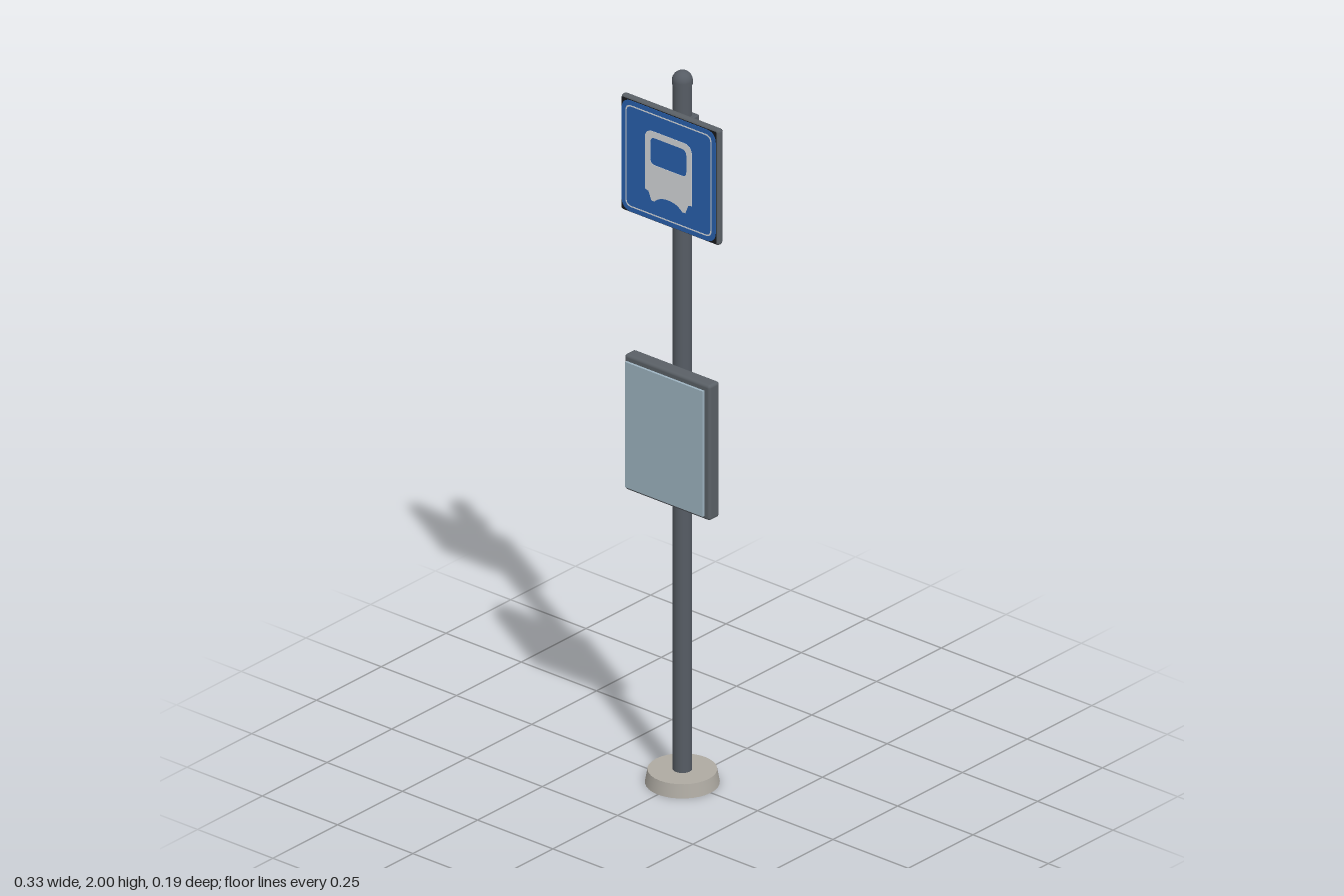
import * as THREE from 'three';
import { RoundedBoxGeometry } from 'three/addons/geometries/RoundedBoxGeometry.js';

const material = (name, color) => new THREE.MeshStandardMaterial({ name, color });

// Rounded rectangle centred on (0, cy), as a Shape or as a hole Path
function roundedRect(w, h, r, cy = 0, Type = THREE.Shape) {
  const p = new Type(), x = w / 2, y0 = cy - h / 2, y1 = cy + h / 2;
  p.moveTo(-x + r, y0);
  p.lineTo(x - r, y0);
  p.quadraticCurveTo(x, y0, x, y0 + r);
  p.lineTo(x, y1 - r);
  p.quadraticCurveTo(x, y1, x - r, y1);
  p.lineTo(-x + r, y1);
  p.quadraticCurveTo(-x, y1, -x, y1 - r);
  p.lineTo(-x, y0 + r);
  p.quadraticCurveTo(-x, y0, -x + r, y0);
  return p;
}

// Bus seen head-on: wheel feet, arched underside and a windscreen opening
function busShape() {
  const s = new THREE.Shape();
  s.moveTo(-0.078, -0.075);
  s.lineTo(-0.066, -0.078);
  s.lineTo(-0.056, -0.102);
  s.lineTo(-0.046, -0.102);
  s.quadraticCurveTo(-0.03, -0.084, 0, -0.084);
  s.quadraticCurveTo(0.03, -0.084, 0.046, -0.102);
  s.lineTo(0.056, -0.102);
  s.lineTo(0.066, -0.078);
  s.lineTo(0.078, -0.075);
  s.lineTo(0.078, 0.07);
  s.quadraticCurveTo(0.076, 0.094, 0.05, 0.094);
  s.lineTo(-0.05, 0.094);
  s.quadraticCurveTo(-0.076, 0.094, -0.078, 0.07);
  s.closePath();
  s.holes.push(roundedRect(0.12, 0.076, 0.016, 0.038, THREE.Path));
  return s;
}

export function createModel() {
  const model = new THREE.Group();
  model.name = 'busStopPost';

  const steel = material('dark steel', 0x565c64);
  const trim = material('frame grey', 0x5a6066);
  const blue = material('sign blue', 0x2860ae);
  const white = material('sign white', 0xd6d9dc);
  const black = material('edge black', 0x17191c);
  const glass = material('pale glass', 0x9db3c0);
  const concrete = material('concrete', 0xaeaaa2);

  const add = (name, geometry, mat, x = 0, y = 0, z = 0, parent = model) => {
    const mesh = new THREE.Mesh(geometry, mat);
    mesh.name = name;
    mesh.position.set(x, y, z);
    parent.add(mesh);
    return mesh;
  };
  const plate = (shape, depth) =>
    new THREE.ExtrudeGeometry(shape, { depth, bevelEnabled: false, curveSegments: 6 });

  // Footing, pole and domed cap
  add('footing', new THREE.CylinderGeometry(0.088, 0.0945, 0.037, 32), concrete, 0, 0.0185);
  add('pole', new THREE.CylinderGeometry(0.0245, 0.0245, 1.94, 24), steel, 0, 1.003);
  add('cap', new THREE.SphereGeometry(0.0265, 24, 8, 0, Math.PI * 2, 0, Math.PI / 2), steel, 0, 1.9735);
  add('capRim', new THREE.CylinderGeometry(0.0265, 0.0265, 0.01, 24), steel, 0, 1.9685);

  // Sign mounting: sleeve and two clamps
  add('signSleeve', new THREE.CylinderGeometry(0.0275, 0.0275, 0.26, 24), steel, 0, 1.74);
  for (const y of [1.61, 1.868]) {
    add('signClamp', new RoundedBoxGeometry(0.068, 0.018, 0.058, 2, 0.004), steel, 0, y, 0.001);
  }

  // Sign, with the same face on both sides
  const sign = new THREE.Group();
  sign.name = 'sign';
  sign.position.set(0, 1.739, 0.04);
  model.add(sign);
  add('signFrame', new RoundedBoxGeometry(0.326, 0.326, 0.021, 3, 0.009), trim, 0, 0, 0, sign);

  const border = roundedRect(0.286, 0.286, 0.02);
  border.holes.push(roundedRect(0.279, 0.279, 0.018, 0, THREE.Path));
  for (const turn of [0, Math.PI]) {
    const face = new THREE.Group();
    face.name = turn ? 'signBackFace' : 'signFrontFace';
    face.rotation.y = turn;
    sign.add(face);
    add('backingPlate', plate(roundedRect(0.314, 0.314, 0.004), 0.002), black, 0, 0, 0.01, face);
    add('bluePanel', plate(roundedRect(0.312, 0.312, 0.032), 0.002), blue, 0, 0, 0.0115, face);
    add('whiteBorder', plate(border, 0.0008), white, 0, 0, 0.0133, face);
    add('busSymbol', plate(busShape(), 0.0012), white, 0, 0, 0.0133, face);
  }

  // Timetable case with its bracket and raised glass
  add('caseBracket', new THREE.BoxGeometry(0.068, 0.14, 0.022), steel, 0, 0.99, 0.011);
  add('timetableCase', new RoundedBoxGeometry(0.284, 0.38, 0.04, 3, 0.008), trim, 0, 0.99, 0.04);
  add('timetableGlass', new THREE.BoxGeometry(0.258, 0.352, 0.007), glass, 0, 0.99, 0.068);

  return model;
}
